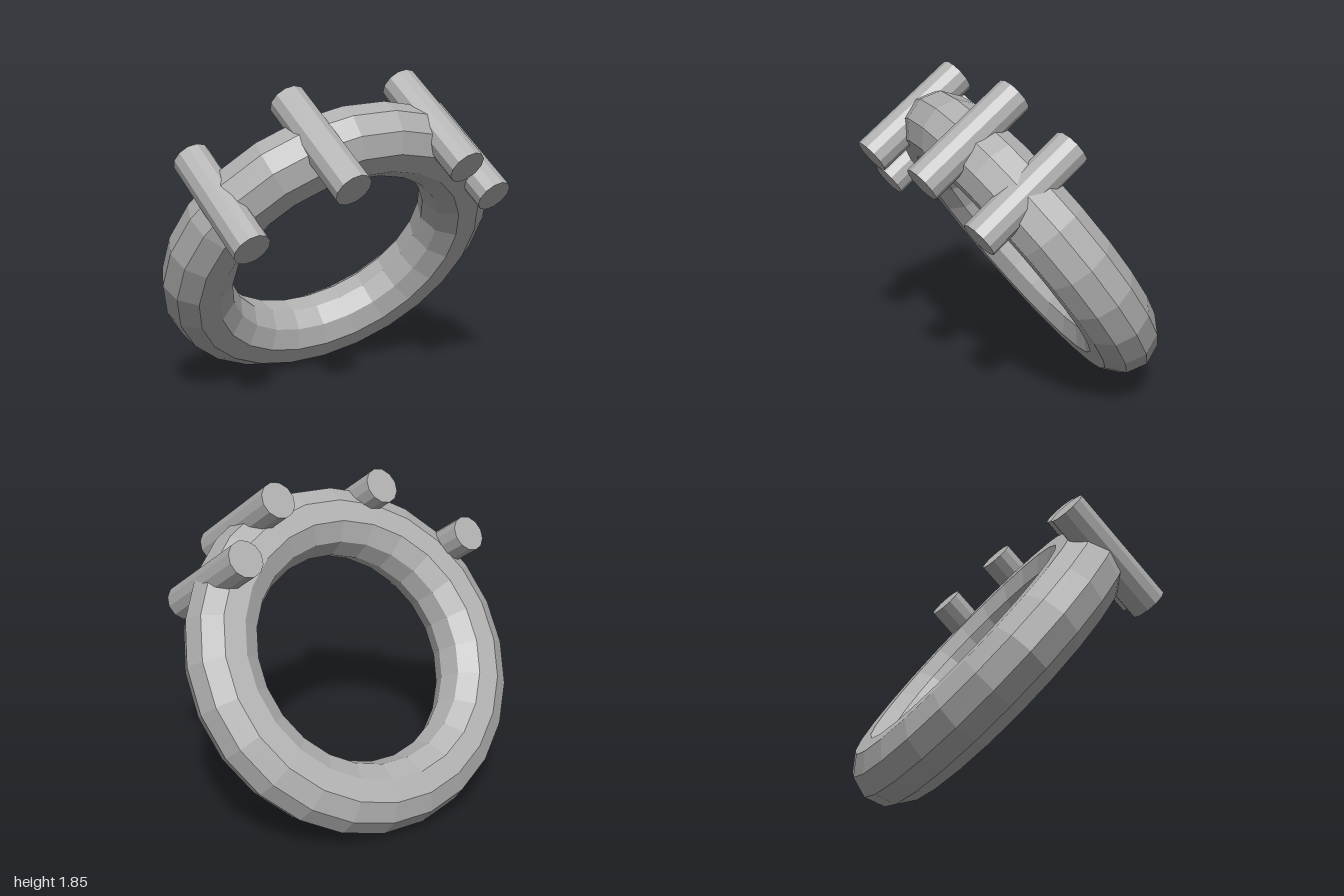
import * as THREE from 'three';

export function createModel() {
  const model = new THREE.Group();
  model.name = 'ringWithPegs';
  const grey = new THREE.MeshStandardMaterial({ color: 0xb0b0b0, flatShading: true });
  grey.name = 'grey';

  // Leaning frame: local x runs up the slope, local y is front, local z is the peg direction
  const lean = THREE.MathUtils.degToRad(54.7);
  const frame = new THREE.Group();
  frame.name = 'leaningFrame';
  const up = new THREE.Vector3(Math.cos(lean), Math.sin(lean), 0);
  const front = new THREE.Vector3(0, 0, 1);
  const across = new THREE.Vector3().crossVectors(up, front);
  frame.quaternion.setFromRotationMatrix(new THREE.Matrix4().makeBasis(up, front, across));
  frame.position.set(-0.11, 0.855, 0);
  model.add(frame);

  // Ring, turned slightly against the pegs
  const ring = new THREE.Mesh(new THREE.TorusGeometry(0.8, 0.2, 10, 24), grey);
  ring.name = 'ring';
  ring.rotation.x = THREE.MathUtils.degToRad(-6.5);
  frame.add(ring);

  // Four parallel pegs through the outer upper side: [up, front, across]
  const pegGeometry = new THREE.CylinderGeometry(0.105, 0.105, 0.68, 12).rotateX(Math.PI / 2);
  const places = [
    [0.396, 0.84, -0.07],
    [0.82, 0.43, 0.005],
    [0.897, -0.285, 0.035],
    [0.644, -0.625, 0.053],
  ];
  places.forEach((p, i) => {
    const peg = new THREE.Mesh(pegGeometry, grey);
    peg.name = `peg${i + 1}`;
    peg.position.set(...p);
    frame.add(peg);
  });
  return model;
}
